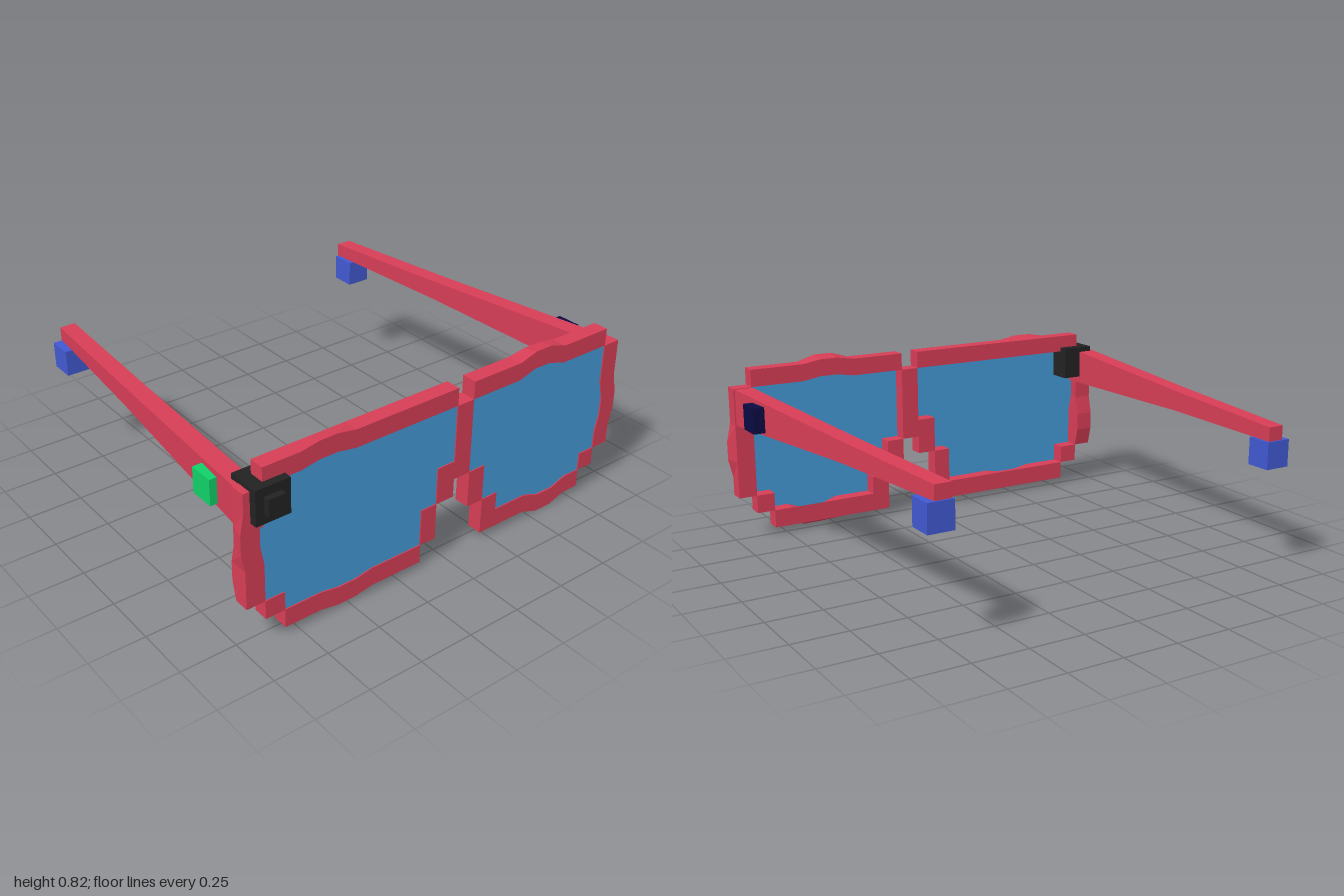
import * as THREE from 'three';

const paint = (name, color, extra = {}) =>
  Object.assign(new THREE.MeshStandardMaterial({ color, ...extra }), { name });

export function createModel() {
  const red = paint('frame red', 0xd63d55);
  const blue = paint('lens blue', 0x449ad6, { side: THREE.DoubleSide });
  const black = paint('camera black', 0x222222);
  const indigo = paint('ear tip indigo', 0x4158d0);
  const navy = paint('button navy', 0x0a0a42);
  const green = paint('button green', 0x10cf68);

  const group = new THREE.Group();
  group.name = 'glasses';
  const FRONT = 0.81, BACK = 0.74;

  function add(name, geometry, material) {
    const mesh = new THREE.Mesh(geometry, material);
    mesh.name = name;
    group.add(mesh);
    return mesh;
  }

  // Box from its limits on each axis
  function block(name, material, x0, x1, y0, y1, z0, z1) {
    const g = new THREE.BoxGeometry(x1 - x0, y1 - y0, z1 - z0);
    g.translate((x0 + x1) / 2, (y0 + y1) / 2, (z0 + z1) / 2);
    return add(name, g, material);
  }

  // Flat-faced geometry after moving vertices
  function facet(g) {
    const flat = g.toNonIndexed();
    flat.computeVertexNormals();
    return flat;
  }

  // Rim bar cut into cells; one cell is pushed along an axis at the front and back
  function bar(name, x0, x1, y0, y1, cells, bulges) {
    const wide = x1 - x0 > y1 - y0;
    const g = new THREE.BoxGeometry(x1 - x0, y1 - y0, FRONT - BACK, wide ? cells : 1, wide ? 1 : cells, 1);
    g.translate((x0 + x1) / 2, (y0 + y1) / 2, (FRONT + BACK) / 2);
    const p = g.attributes.position;
    for (let i = 0; i < p.count; i++) {
      const t = wide ? (p.getX(i) - x0) / (x1 - x0) : (p.getY(i) - y0) / (y1 - y0);
      const k = Math.round(t * cells);
      const atFront = p.getZ(i) > (FRONT + BACK) / 2;
      for (const { cell, axis, front = 0, back = 0 } of bulges) {
        if (k === cell || k === cell + 1) {
          p.setComponent(i, axis, p.getComponent(i, axis) + (atFront ? front : back));
        }
      }
    }
    add(name, facet(g), red);
  }

  // Long rim bars
  bar('rightRimTop', -0.9, 0.04, 0.72, 0.8, 11, [{ cell: 3, axis: 1, front: 0.015 }]);
  bar('leftRimTop', 0.125, 0.89, 0.72, 0.8, 9, [{ cell: 4, axis: 1, front: 0.026, back: 0.014 }]);
  bar('rightRimBottom', -0.81, -0.13, 0.035, 0.12, 8, [{ cell: 3, axis: 1, front: -0.015 }]);
  bar('leftRimBottom', 0.21, 0.805, 0.035, 0.12, 7, [{ cell: 4, axis: 1, front: -0.03 }]);
  bar('rightRimSide', -0.985, -0.9, 0.205, 0.72, 6, [
    { cell: 3, axis: 0, front: -0.016 }, { cell: 1, axis: 2, back: -0.02 }]);
  bar('leftRimSide', 0.89, 0.975, 0.205, 0.72, 6, [{ cell: 2, axis: 0, front: 0.02 }]);

  // Bridge and stair-stepped rim corners
  [
    ['bridge', 0.04, 0.125, 0.375, 0.72],
    ['rightRimOuterStep', -0.9, -0.81, 0.12, 0.205],
    ['rightRimInnerLowStep', -0.13, -0.05, 0.12, 0.29],
    ['rightRimInnerHighStep', -0.05, 0.04, 0.29, 0.46],
    ['leftRimInnerHighStep', 0.125, 0.21, 0.205, 0.375],
    ['leftRimInnerLowStep', 0.21, 0.295, 0.12, 0.205],
    ['leftRimOuterStep', 0.805, 0.89, 0.12, 0.205],
  ].forEach(([name, x0, x1, y0, y1]) => block(name, red, x0, x1, y0, y1, BACK, FRONT));

  // Thin lenses with their edges set into the rims
  function lens(name, points) {
    const shape = new THREE.Shape(points.map(([x, y]) => new THREE.Vector2(x, y)));
    add(name, new THREE.ShapeGeometry(shape).translate(0, 0, FRONT - 0.005), blue);
  }
  lens('rightLens', [
    [-0.94, 0.7], [-0.94, 0.24], [-0.9, 0.205], [-0.85, 0.16], [-0.81, 0.12], [-0.79, 0.08],
    [-0.15, 0.08], [-0.13, 0.12], [-0.09, 0.25], [-0.05, 0.29], [-0.02, 0.42], [0.08, 0.42],
    [0.08, 0.7], [0.04, 0.72], [0.03, 0.76], [-0.88, 0.76], [-0.9, 0.72]]);
  lens('leftLens', [
    [0.125, 0.72], [0.08, 0.7], [0.08, 0.4], [0.125, 0.375], [0.165, 0.34], [0.17, 0.25],
    [0.21, 0.205], [0.25, 0.16], [0.295, 0.12], [0.31, 0.08], [0.78, 0.08], [0.805, 0.12],
    [0.85, 0.16], [0.89, 0.205], [0.93, 0.24], [0.93, 0.7], [0.89, 0.72], [0.87, 0.76], [0.14, 0.76]]);

  // Tapering temple through three cross-sections: z, inner x, outer x, bottom, top
  function temple(name, side, sections) {
    const g = new THREE.BoxGeometry(1, 1, 2, 1, 1, 2);
    const p = g.attributes.position;
    for (let i = 0; i < p.count; i++) {
      const [z, inner, outer, bottom, top] = sections[Math.round(p.getZ(i)) + 1];
      const isOuter = p.getX(i) * side > 0;
      p.setXYZ(i, side * (isOuter ? outer : inner), p.getY(i) > 0 ? top : bottom, z);
    }
    add(name, facet(g), red);
  }
  temple('rightTemple', -1, [
    [-0.875, 0.762, 0.835, 0.598, 0.66], [-0.2, 0.816, 0.894, 0.588, 0.68], [FRONT, 0.9, 0.985, 0.547, 0.72]]);
  temple('leftTemple', 1, [
    [-0.875, 0.752, 0.825, 0.598, 0.66], [-0.2, 0.806, 0.884, 0.588, 0.68], [FRONT, 0.89, 0.975, 0.547, 0.72]]);

  // Ear tips
  block('rightEarTip', indigo, -0.875, -0.76, 0.475, 0.595, -0.875, -0.76);
  block('leftEarTip', indigo, 0.74, 0.855, 0.475, 0.595, -0.875, -0.76);

  // Temple buttons
  block('leftButton', navy, 0.88, 0.996, 0.575, 0.69, 0.45, 0.565);
  block('rightButton', green, -1, -0.885, 0.57, 0.685, 0.5, 0.615);

  // Corner camera
  block('cameraBody', black, -0.955, -0.8, 0.585, 0.74, 0.695, 0.845);
  block('cameraLens', black, -0.917, -0.84, 0.625, 0.702, 0.84, 0.872);

  return group;
}
